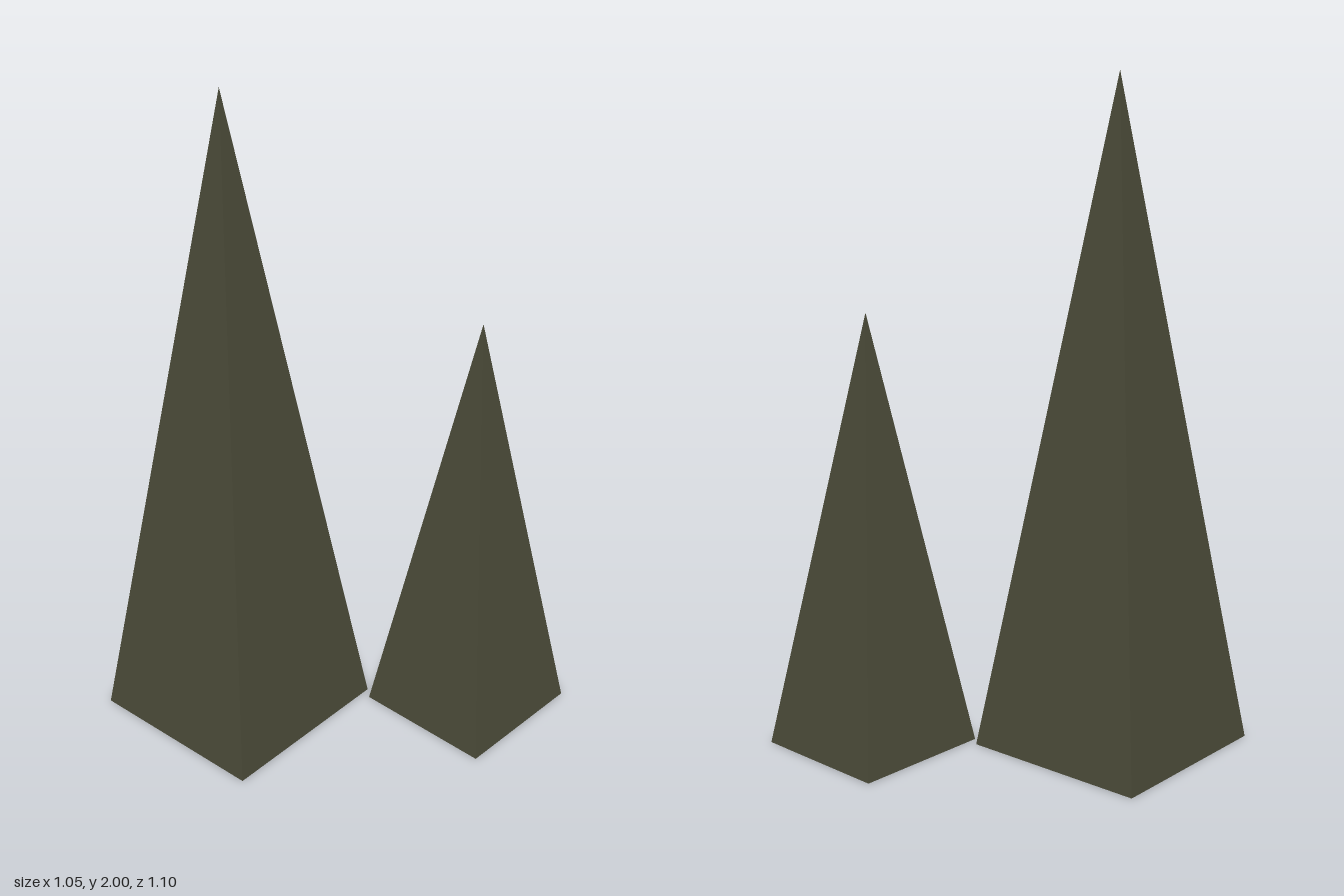
import * as THREE from 'three';

export function createModel() {
  const group = new THREE.Group();
  const olive = new THREE.MeshStandardMaterial({ color: 0x4a4a38, flatShading: true });
  olive.name = 'dark olive';

  // Four-sided spire standing on the ground; angle is the heading of its first corner
  function addSpire(name, radius, height, x, z, angle) {
    const geometry = new THREE.ConeGeometry(radius, height, 4);
    geometry.translate(0, height / 2, 0);
    const spire = new THREE.Mesh(geometry, olive);
    spire.name = name;
    spire.position.set(x, 0, z);
    spire.rotation.y = angle;
    group.add(spire);
  }

  addSpire('tallSpire', 0.413, 2, -0.2, 0.222, 0.906);
  addSpire('shortSpire', 0.31, 1.315, 0.288, -0.315, 0.866);

  return group;
}
